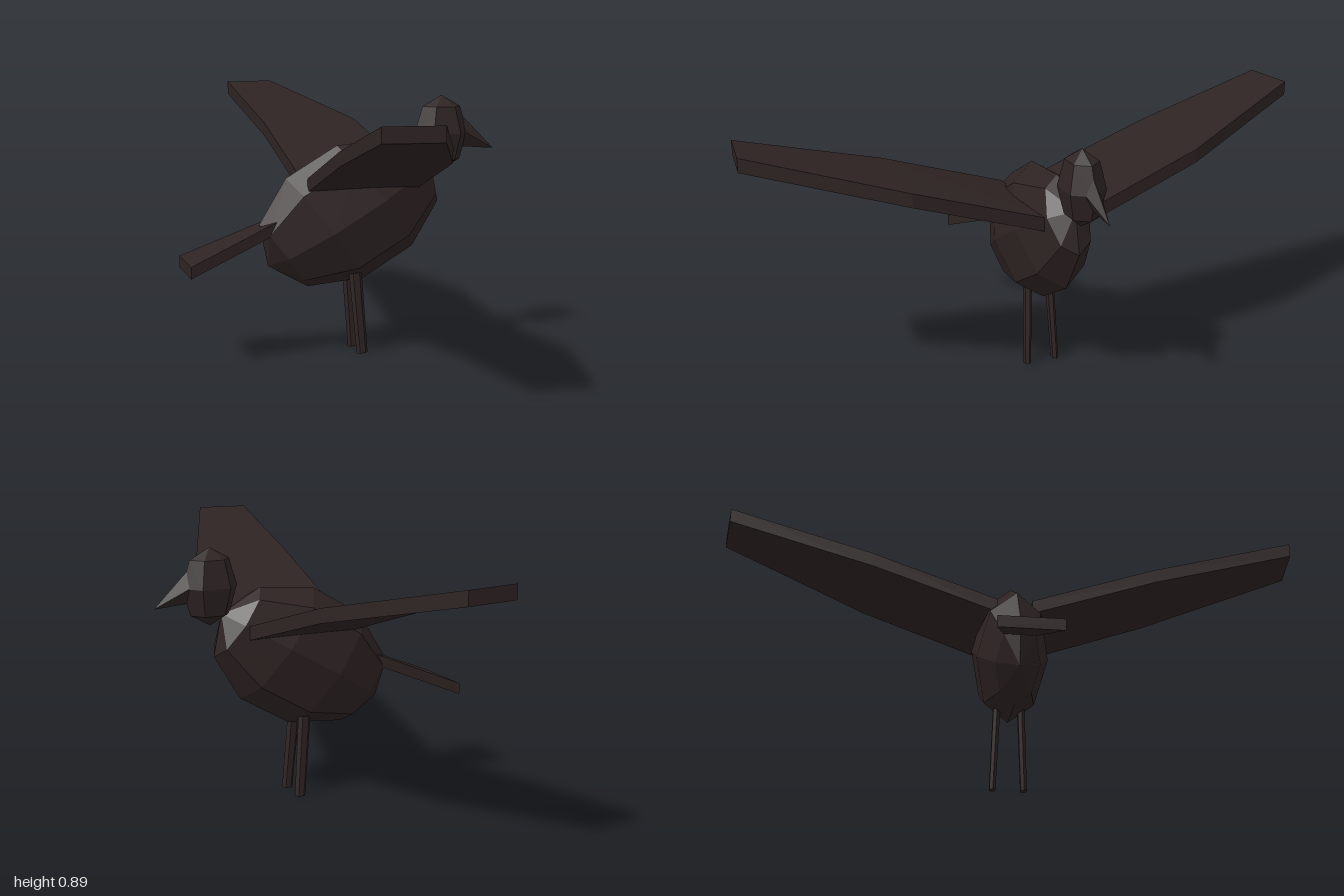
import * as THREE from 'three';

const plumage = new THREE.MeshStandardMaterial({ color: 0x2e2323 });
plumage.name = 'darkBrown';

// Faceted mesh: every face gets its own normal
function facetedMesh(name, geometry) {
  const flat = geometry.index ? geometry.toNonIndexed() : geometry;
  flat.computeVertexNormals();
  const mesh = new THREE.Mesh(flat, plumage);
  mesh.name = name;
  return mesh;
}

// Solid slab through four-cornered sections, each counter-clockwise about the loft direction
function loft(sections) {
  const positions = [];
  const quad = (a, b, c, d) => positions.push(...a, ...b, ...c, ...a, ...c, ...d);
  for (let s = 0; s < sections.length - 1; s++) {
    const p = sections[s], q = sections[s + 1];
    for (let i = 0; i < 4; i++) {
      const j = (i + 1) % 4;
      quad(p[i], p[j], q[j], q[i]);
    }
  }
  quad(...[...sections[0]].reverse());
  quad(...sections[sections.length - 1]);
  const geometry = new THREE.BufferGeometry();
  geometry.setAttribute('position', new THREE.Float32BufferAttribute(positions, 3));
  return geometry;
}

// Wing sections: leading x and z, trailing x and z, top height
const wingSections = [
  [0.25, 0.06, -0.145, 0.06, 0.622],
  [0.202, 0.51, -0.16, 0.49, 0.763],
  [-0.01, 1.0, -0.19, 0.975, 0.884],
];

function wing(side) {
  const rings = wingSections.map(([lx, lz, tx, tz, y]) => {
    const ring = [
      [lx, y, side * lz], [tx, y, side * tz],
      [tx, y - 0.048, side * tz], [lx, y - 0.048, side * lz],
    ];
    return side > 0 ? ring : ring.reverse();
  });
  return loft(rings);
}

// Slim six-sided leg from hip to foot
function leg(side) {
  const hip = new THREE.Vector3(0.03, 0.285, side * 0.042);
  const foot = new THREE.Vector3(0.052, 0.002, side * 0.053);
  const axis = hip.clone().sub(foot);
  const geometry = new THREE.CylinderGeometry(0.021, 0.018, axis.length(), 6);
  geometry.rotateY(Math.PI / 2).scale(1.1, 1, 0.65);
  geometry.applyQuaternion(
    new THREE.Quaternion().setFromUnitVectors(new THREE.Vector3(0, 1, 0), axis.normalize()));
  const mid = hip.add(foot).multiplyScalar(0.5);
  return geometry.translate(mid.x, mid.y, mid.z);
}

export function createModel() {
  const bird = new THREE.Group();
  bird.name = 'bird';

  // Body: coarse sphere stretched along a rising axis
  const bodyShape = new THREE.Matrix4().makeBasis(
    new THREE.Vector3(0.1446, -0.19, 0),
    new THREE.Vector3(0.293, 0.172, 0),
    new THREE.Vector3(0, 0, 0.129)).setPosition(0.023, 0.49, 0);
  bird.add(facetedMesh('body', new THREE.SphereGeometry(1, 8, 5).applyMatrix4(bodyShape)));

  // Head
  const head = new THREE.SphereGeometry(1, 6, 4).scale(0.098, 0.131, 0.074);
  bird.add(facetedMesh('head', head.translate(0.356, 0.757, 0)));

  // Beak: four-sided cone with its tip bent down
  const beak = new THREE.ConeGeometry(1, 1, 4).rotateZ(-Math.PI / 2);
  const beakShape = new THREE.Matrix4().set(
    0.115, 0, 0, 0.4945,
    -0.062, 0.053, 0, 0.728,
    0, 0, 0.026, 0,
    0, 0, 0, 1);
  bird.add(facetedMesh('beak', beak.applyMatrix4(beakShape)));

  // Tail: flat wedge widening backwards
  const tail = loft([[-0.25, 0.476, 0.05], [-0.555, 0.35, 0.107]].map(([x, y, w]) => [
    [x, y, w], [x, y, -w], [x, y - 0.04, -w], [x, y - 0.04, w],
  ]));
  bird.add(facetedMesh('tail', tail));

  // Wings and legs on both sides
  for (const side of [1, -1]) {
    const label = side > 0 ? 'Near' : 'Far';
    bird.add(facetedMesh('wing' + label, wing(side)));
    bird.add(facetedMesh('leg' + label, leg(side)));
  }
  return bird;
}
